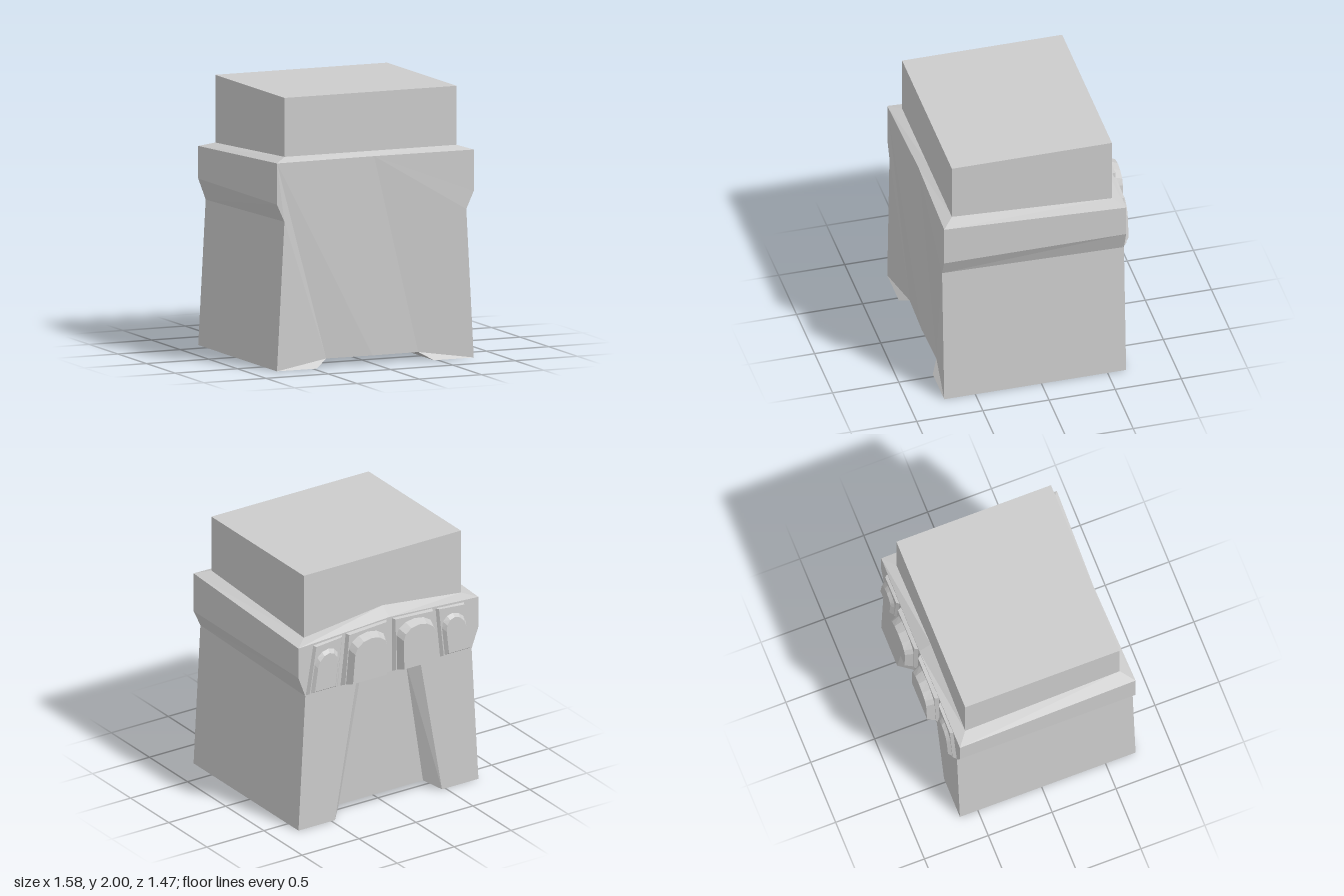
import * as THREE from 'three';

const material = new THREE.MeshStandardMaterial({ color: 0xcccccc, flatShading: true });

// Mesh from convex polygons, optionally with the copy mirrored across x = 0
function polyMesh(name, polys, mirror) {
  const pos = [];
  const fan = (p) => {
    for (let i = 1; i < p.length - 1; i++) pos.push(...p[0], ...p[i], ...p[i + 1]);
  };
  for (const p of polys) {
    fan(p);
    if (mirror) fan(p.map(([x, y, z]) => [-x, y, z]).reverse());
  }
  const g = new THREE.BufferGeometry();
  g.setAttribute('position', new THREE.Float32BufferAttribute(pos, 3));
  g.computeVertexNormals();
  const m = new THREE.Mesh(g, material);
  m.name = name;
  return m;
}

// Polygons of a block lofted from a rear outline to a smaller one facing -z;
// the outlines spread sideways towards the bottom
function loft(base, zBase, face, zFace) {
  const place = (z) => ([x, y]) => [x * (1 + 0.25 * (1.45 - y)), y, z];
  const b = base.map(place(zBase)), f = face.map(place(zFace));
  const sides = b.map((p, i) => {
    const j = (i + 1) % b.length;
    return [p, f[i], f[j], b[j]];
  });
  return [...sides, [...f].reverse()];
}

// Panel outline with a rounded top
function arch(x0, x1, y0, y1) {
  const c = (x0 + x1) / 2, r = (x1 - x0) / 2, out = [[x0, y0], [x1, y0]];
  for (let i = 0; i <= 6; i++) {
    const a = (i / 6) * Math.PI;
    out.push([c + r * Math.cos(a), y1 - 0.1 + 0.1 * Math.sin(a)]);
  }
  return out;
}

const rect = (x0, x1, y0, y1, slope = 0) =>
  [[x0, y0], [x1, y0], [x1, y1 - slope], [x0, y1]];

function createBody() {
  // front corners of the +x half
  const T0 = [0, 1.535, 0.715], T = [0.79, 1.535, 0.735], S = [0.79, 1.23, 0.735];
  const W = [0.73, 1.1, 0.735], B = [0.79, 0, 0.735], N = [0.47, 0, 0.735];
  const M = [0.37, 0.06, 0.68], C = [0, 0.06, 0.69];
  // back corners
  const T0b = [0, 1.52, -0.65], Tb = [0.79, 1.47, -0.64], Sb = [0.79, 1.23, -0.64];
  const Wb = [0.73, 1.07, -0.64], Bb = [0.79, 0, -0.64], Nb = [0.47, 0, -0.64];
  const Mb = [0.37, 0.06, -0.54], Cb = [0, 0.06, -0.54], L = [0.28, 1.08, -0.64];
  const R = [0.2, 1.06, -0.57], R0 = [0, 1.06, -0.57], U0 = [0, 1.08, -0.65];
  // inner edge of the ledge
  const I = [0.69, 1.565, 0.65], I0 = [0, 1.565, 0.65];
  const Ib = [0.69, 1.5, -0.56], I0b = [0, 1.58, -0.56];
  return polyMesh('body', [
    // front
    [T0, C, M, W, S, T], [M, B, W], [N, B, M],
    // side
    [S, Sb, Tb, T], [W, Wb, Sb, S], [B, Bb, Wb, W],
    // back with its recess between the legs
    [T0b, Tb, Sb, Wb, L, U0], [L, Wb, Bb, Nb], [L, Nb, Mb, R], [R0, R, Mb, Cb], [U0, L, R, R0],
    // underside with its channel
    [N, Nb, Bb, B], [M, Mb, Nb, N], [C, Cb, Mb, M],
    // sloping ledge
    [T0, T, I, I0], [T, Tb, Ib, I], [Tb, T0b, I0b, Ib],
  ], true);
}

export function createModel() {
  const model = new THREE.Group();
  model.name = 'blockFoot';
  model.add(createBody());

  // Upper block
  const upper = new THREE.Mesh(new THREE.BoxGeometry(1.38, 0.52, 1.21), material);
  upper.name = 'upperBlock';
  upper.position.set(0, 1.74, 0.045);
  model.add(upper);

  // Inner and outer pairs of toes, each with an arched raised panel
  const toes = [
    { name: 'inner', x0: 0.01, x1: 0.39, top: 1.51, z: -0.675, tip: -0.735, archTop: 1.47 },
    { name: 'outer', x0: 0.4, x1: 0.67, top: 1.485, z: -0.665, tip: -0.69, archTop: 1.42 },
  ];
  for (const { name, x0, x1, top, z, tip, archTop } of toes) {
    model.add(polyMesh(name + 'Toes', loft(
      rect(x0, x1, 1.07, top, 0.02), -0.63,
      rect(x0 + 0.03, x1 - 0.02, 1.09, top - 0.01, 0.02), z), true));
    model.add(polyMesh(name + 'ToePanels', loft(
      arch(x0 + 0.035, x1 - 0.025, 1.09, archTop), z + 0.005,
      arch(x0 + 0.06, x1 - 0.045, 1.11, archTop - 0.03), tip), true));
  }
  return model;
}
